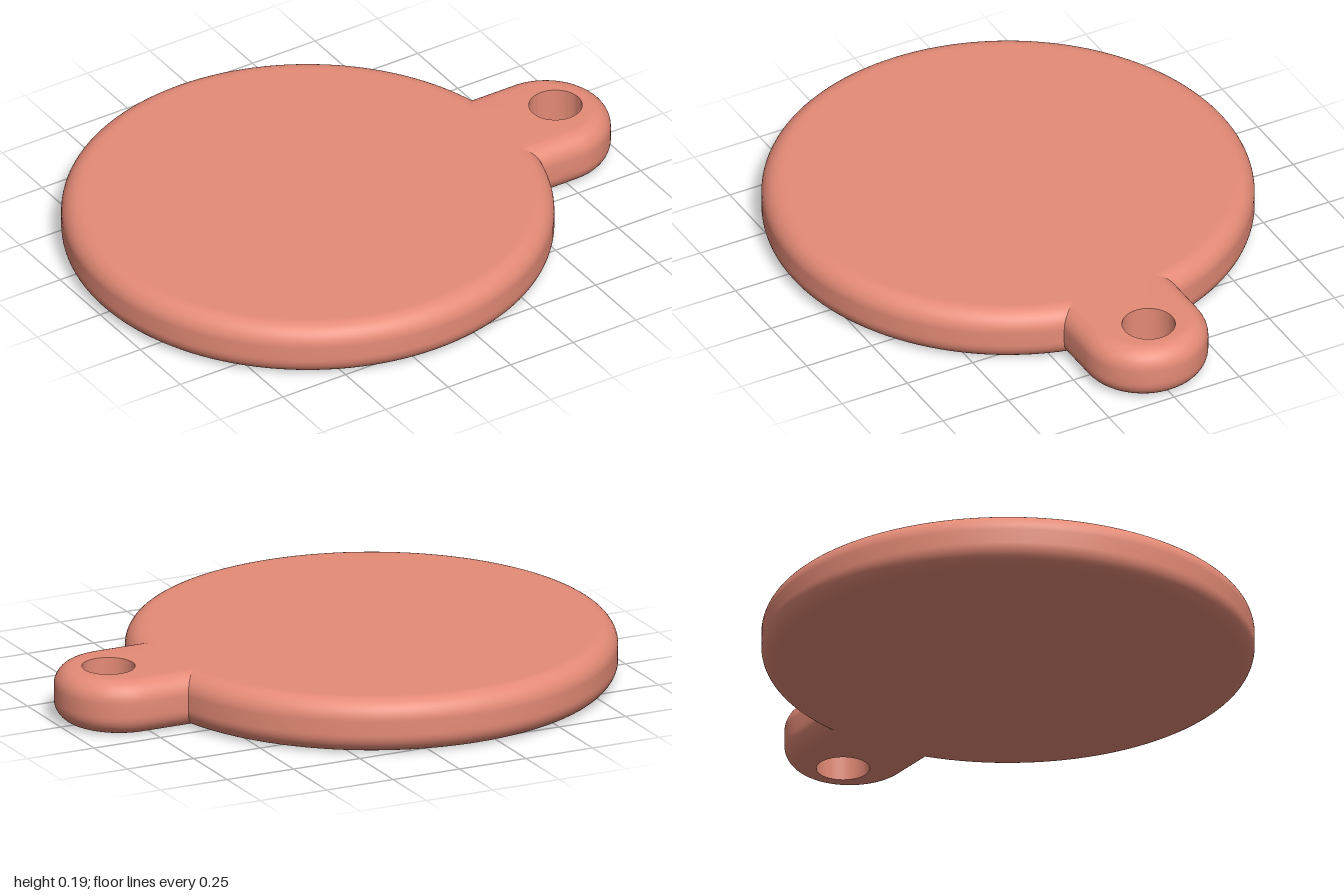
import * as THREE from 'three';
import { toCreasedNormals } from 'three/addons/utils/BufferGeometryUtils.js';

const H = 0.19, FILLET = 0.07, STEPS = 10;

// Rounded edge from underside to top, as [inset, y] pairs
function edgeProfile() {
  const pts = [];
  for (const top of [false, true]) {
    for (let i = 0; i <= STEPS; i++) {
      const a = (i / STEPS) * Math.PI / 2 - (top ? 0 : Math.PI / 2);
      const cy = top ? H - FILLET : FILLET;
      pts.push([FILLET * (1 - Math.cos(a)), cy + FILLET * Math.sin(a)]);
    }
  }
  return pts;
}

// Round plate with filleted rim
function discGeometry(radius) {
  const rim = edgeProfile().map(([inset, y]) => new THREE.Vector2(radius - inset, y));
  const inner = radius - FILLET - 0.01;
  return new THREE.LatheGeometry([
    new THREE.Vector2(0, 0), new THREE.Vector2(inner, 0), ...rim,
    new THREE.Vector2(inner, H), new THREE.Vector2(0, H),
  ], 128);
}

// Half-round tab outline in (x, z), with a straight end at x = root
function tabOutline(r, cx, root) {
  const pts = [];
  for (let i = 0; i <= 40; i++) {
    const a = -Math.PI / 2 + (i / 40) * Math.PI;
    pts.push([cx + r * Math.cos(a), r * Math.sin(a)]);
  }
  for (let i = 1; i <= 6; i++) pts.push([cx + (root - cx) * i / 6, r]);
  for (let i = 1; i <= 12; i++) pts.push([root, r - 2 * r * i / 12]);
  for (let i = 1; i < 6; i++) pts.push([root + (cx - root) * i / 6, -r]);
  return pts;
}

// Tab swept as rings: hole wall, underside, filleted side, top, hole wall
function tabGeometry() {
  const holeX = 0.82, holeR = 0.09;
  const rings = edgeProfile().map(([inset, y]) =>
    tabOutline(0.22 - inset, 0.78, 0.57).map(([x, z]) => [x, y, z]));
  const holeRing = (y) => tabOutline(0.22, 0.78, 0.57).map(([x, z]) => {
    const a = Math.atan2(z, x - holeX);
    return [holeX + holeR * Math.cos(a), y, holeR * Math.sin(a)];
  });
  rings.unshift(holeRing(0));
  rings.push(holeRing(H));

  const n = rings[0].length, index = [];
  for (let k = 0; k < rings.length; k++) {
    const next = (k + 1) % rings.length;
    for (let i = 0; i < n; i++) {
      const j = (i + 1) % n;
      const a = k * n + i, b = k * n + j, c = next * n + i, d = next * n + j;
      index.push(a, c, b, b, c, d);
    }
  }
  const geo = new THREE.BufferGeometry();
  geo.setAttribute('position', new THREE.Float32BufferAttribute(rings.flat(2), 3));
  geo.setIndex(index);
  return toCreasedNormals(geo, 0.6);
}

export function createModel() {
  const group = new THREE.Group();
  group.name = 'roundTag';
  const material = new THREE.MeshStandardMaterial({ color: 0xe58b77 });

  const disc = new THREE.Mesh(discGeometry(0.83), material);
  disc.name = 'disc';
  disc.position.x = -0.17;

  const tab = new THREE.Mesh(tabGeometry(), material);
  tab.name = 'hangingTab';

  group.add(disc, tab);
  return group;
}
